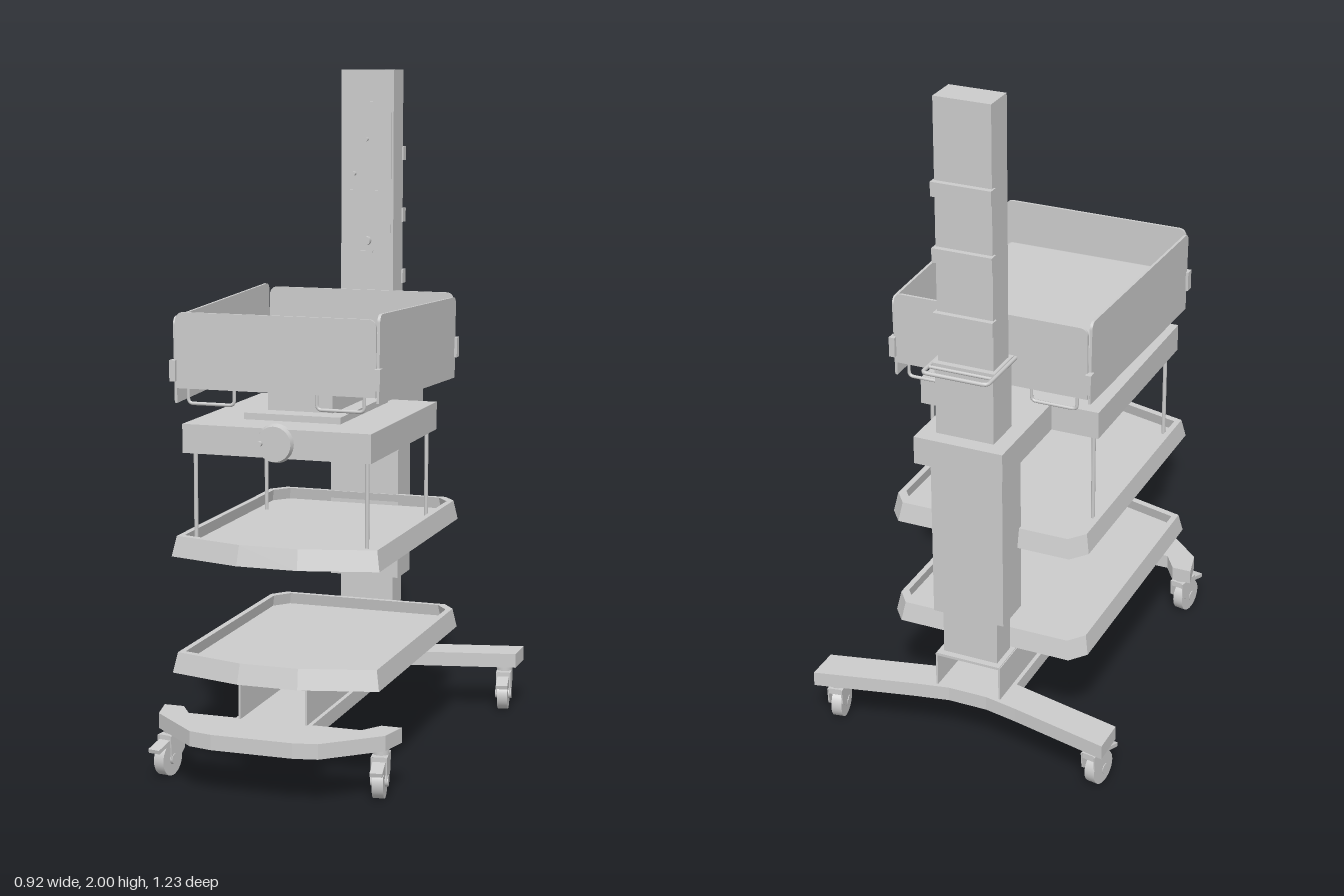
import * as THREE from 'three';
import { RoundedBoxGeometry } from 'three/addons/geometries/RoundedBoxGeometry.js';

const grey = new THREE.MeshStandardMaterial({ color: 0xcccccc });
const greyDouble = new THREE.MeshStandardMaterial({ color: 0xcccccc, side: THREE.DoubleSide });

export function createModel() {
  const model = new THREE.Group();

  const add = (name, geometry, parent = model, material = grey) => {
    const mesh = new THREE.Mesh(geometry, material);
    mesh.name = name;
    parent.add(mesh);
    return mesh;
  };
  // Box given by its extents on each axis
  const box = (name, x0, x1, y0, y1, z0, z1, parent) => {
    const mesh = add(name, new THREE.BoxGeometry(x1 - x0, y1 - y0, z1 - z0), parent);
    mesh.position.set((x0 + x1) / 2, (y0 + y1) / 2, (z0 + z1) / 2);
    return mesh;
  };
  // Symmetric plan outline from its +x half, listed front to back as [x, z]
  const plan = (half, inset = 0) => {
    const right = half.map(([x, z]) => new THREE.Vector2(x - inset, -(z - Math.sign(z) * inset)));
    const left = right.map((p) => new THREE.Vector2(-p.x, p.y)).reverse();
    return new THREE.Shape([...right, ...left]);
  };
  // Extrude a plan upwards
  const slab = (shape, height) =>
    new THREE.ExtrudeGeometry(shape, { depth: height, bevelEnabled: false }).rotateX(-Math.PI / 2);
  // Wire through points with straight runs and small rounded bends
  const wire = (name, points, radius, parent = model) => {
    const pts = points.map((p) => new THREE.Vector3(...p));
    const path = new THREE.CurvePath();
    let from = pts[0];
    for (let i = 1; i < pts.length - 1; i++) {
      const a = pts[i].clone().add(pts[i - 1].clone().sub(pts[i]).setLength(0.015));
      const b = pts[i].clone().add(pts[i + 1].clone().sub(pts[i]).setLength(0.015));
      path.add(new THREE.LineCurve3(from, a));
      path.add(new THREE.QuadraticBezierCurve3(a, pts[i], b));
      from = b;
    }
    path.add(new THREE.LineCurve3(from, pts[pts.length - 1]));
    return add(name, new THREE.TubeGeometry(path, 60, radius, 8, false), parent, greyDouble);
  };

  // Base: splayed rear legs, central strip and wide front foot
  const basePlan = [
    [0.12, 0.61], [0.19, 0.595], [0.34, 0.46], [0.36, 0.37], [0.3, 0.37], [0.26, 0.43], [0.115, 0.43],
    [0.115, -0.43], [0.16, -0.44], [0.46, -0.51], [0.46, -0.615], [0.16, -0.545], [0.06, -0.525],
  ];
  add('base', slab(plan(basePlan), 0.044)).position.y = 0.14;

  // Hollow channel on the base, open at both ends
  for (const s of [-1, 1]) {
    box('channelSide', s * 0.1 - 0.003, s * 0.1 + 0.003, 0.184, 0.29, -0.52, 0.44);
  }
  box('channelTop', -0.1, 0.1, 0.284, 0.292, -0.52, 0.44);

  // Casters with fork, wheel and brake pedal
  const caster = (x, z) => {
    const g = new THREE.Group();
    g.name = 'caster';
    const stem = add('casterStem', new THREE.CylinderGeometry(0.024, 0.024, 0.025, 20), g);
    stem.position.y = 0.128;
    const wheel = add('wheel', new THREE.CylinderGeometry(0.05, 0.05, 0.032, 28).rotateZ(Math.PI / 2), g);
    wheel.position.set(0, 0.05, 0.025);
    const hub = add('hub', new THREE.CylinderGeometry(0.016, 0.016, 0.05, 16).rotateZ(Math.PI / 2), g);
    hub.position.set(0, 0.05, 0.025);
    box('forkCrown', -0.023, 0.023, 0.102, 0.12, -0.03, 0.04, g);
    const cheek = new THREE.Shape([[-0.035, 0.12], [-0.03, 0.07], [0.015, 0.035], [0.04, 0.045], [0.045, 0.12]]
      .map(([a, b]) => new THREE.Vector2(-a, b)));
    for (const s of [-1, 1]) {
      const side = add('forkCheek', new THREE.ExtrudeGeometry(cheek, { depth: 0.004, bevelEnabled: false })
        .rotateY(Math.PI / 2), g);
      side.position.x = s * 0.021 - 0.002;
    }
    const pedal = box('brakePedal', -0.018, 0.018, 0.088, 0.1, 0.04, 0.1, g);
    pedal.rotation.x = 0.25;
    g.position.set(x, 0, z);
    g.rotation.y = Math.sign(x) * 0.17;
    model.add(g);
  };
  for (const s of [-1, 1]) {
    caster(s * 0.315, 0.42);
    caster(s * 0.413, -0.555);
  }

  // Storage trays with a rim that leans inwards
  const trayPlan = [[0.09, 0.485], [0.31, 0.425], [0.31, -0.36], [0.27, -0.41]];
  for (const y of [0.297, 0.637]) {
    const rim = plan(trayPlan);
    rim.holes.push(new THREE.Path(plan(trayPlan, 0.018).getPoints().reverse()));
    const rimGeometry = slab(rim, 0.058);
    const p = rimGeometry.attributes.position;
    for (let i = 0; i < p.count; i++) {
      if (p.getY(i) > 0.03) p.setXYZ(i, p.getX(i) * 0.965, p.getY(i), p.getZ(i) * 0.97);
    }
    rimGeometry.computeVertexNormals();
    add('trayRim', rimGeometry).position.y = y;
    add('trayFloor', slab(plan(trayPlan, 0.012), 0.022)).position.y = y + 0.001;
  }

  // Rods hanging the upper tray from the deck
  for (const s of [-1, 1]) for (const z of [0.37, -0.2]) {
    const rod = add('hangerRod', new THREE.CylinderGeometry(0.006, 0.006, 0.3, 12));
    rod.position.set(s * 0.256, 0.8, z);
  }

  // Telescopic column
  box('columnFoot', -0.085, 0.085, 0.285, 0.44, -0.5, -0.41);
  box('columnSleeve', -0.11, 0.11, 0.43, 0.94, -0.51, -0.385);
  box('columnMiddle', -0.088, 0.088, 1.01, 1.23, -0.515, -0.395);
  box('columnTop', -0.084, 0.084, 1.22, 2, -0.502, -0.405);

  // Column panels, clamp bands and small controls
  box('upperPanel', -0.077, 0.077, 1.645, 1.905, -0.41, -0.402);
  box('lowerPanel', -0.077, 0.077, 1.505, 1.635, -0.41, -0.402);
  for (const y of [1.365, 1.555, 1.745]) {
    box('clampBand', -0.089, 0.089, y - 0.021, y + 0.021, -0.518, -0.49);
  }
  for (const [x, y, r] of [[0, 1.48, 0.014], [0, 1.79, 0.006], [-0.04, 1.685, 0.006]]) {
    const button = add('button', new THREE.CylinderGeometry(r, r, 0.02, 16).rotateX(Math.PI / 2));
    button.position.set(x, y, -0.398);
  }
  box('socket', -0.02, 0.02, 1.443, 1.45, -0.41, -0.4);

  // Rail looping behind the column
  wire('rearRail', [[0.098, 1.23, -0.39], [0.098, 1.23, -0.575], [-0.098, 1.23, -0.575], [-0.098, 1.23, -0.39]], 0.006);
  wire('rearRailBar', [[-0.098, 1.23, -0.535], [0, 1.23, -0.535], [0.098, 1.23, -0.535]], 0.005);
  box('railCollar', -0.094, 0.094, 1.222, 1.236, -0.52, -0.39);

  // Deck with a neck wrapping the column
  const deckPlan = [[0.28, 0.41], [0.28, -0.225], [0.135, -0.225], [0.135, -0.562]];
  add('deck', slab(plan(deckPlan), 0.083)).position.y = 0.935;

  // Front dial
  const dial = add('dial', new THREE.CylinderGeometry(0.05, 0.056, 0.022, 36).rotateX(Math.PI / 2));
  dial.position.set(0, 0.977, 0.415);
  const grip = add('dialGrip', new THREE.CylinderGeometry(0.008, 0.008, 0.02, 14).rotateX(Math.PI / 2));
  grip.position.set(-0.04, 0.977, 0.43);

  // Pedestal carrying the bed
  box('pedestalPlate', -0.145, 0.145, 1.017, 1.037, -0.165, 0.275);
  box('pedestal', -0.098, 0.098, 1.037, 1.105, -0.09, 0.205);
  box('bedMount', -0.175, 0.175, 1.1, 1.125, -0.13, 0.245);

  // Bed: floor, mattress and four rounded wall panels
  box('bedFloor', -0.298, 0.298, 1.12, 1.15, -0.34, 0.408);
  const mattress = add('mattress', new RoundedBoxGeometry(0.56, 0.07, 0.725, 4, 0.02));
  mattress.position.set(0, 1.175, 0.037);

  const wall = (w, h) => {
    const r = 0.022;
    const s = new THREE.Shape();
    s.moveTo(-w / 2, 0);
    s.lineTo(w / 2, 0);
    s.lineTo(w / 2, h - r);
    s.absarc(w / 2 - r, h - r, r, 0, Math.PI / 2, false);
    s.lineTo(-w / 2 + r, h);
    s.absarc(-w / 2 + r, h - r, r, Math.PI / 2, Math.PI, false);
    return new THREE.ExtrudeGeometry(s, { depth: 0.008, bevelEnabled: false, curveSegments: 6 }).translate(0, 0, -0.004);
  };
  add('frontWall', wall(0.59, 0.215)).position.set(0, 1.12, 0.414);
  add('backWall', wall(0.59, 0.215)).position.set(0, 1.12, -0.344);
  for (const s of [-1, 1]) {
    const side = add('sideWall', wall(0.75, 0.245));
    side.position.set(s * 0.298, 1.09, 0.035);
    side.rotation.set(0, Math.PI / 2, -s * 0.035);

    // Corner hinges and the ledge below the side wall
    for (const z of [0.416, -0.346]) {
      box('cornerHinge', s * 0.301 - 0.009, s * 0.301 + 0.009, 1.14, 1.2, z - 0.013, z + 0.013);
    }

    // Wire handles under both ends
    for (const z of [0.41, -0.335]) {
      wire('bedHandle', [[s * 0.26, 1.13, z], [s * 0.26, 1.078, z], [s * 0.122, 1.078, z], [s * 0.122, 1.13, z]], 0.005);
    }
  }

  return model;
}
